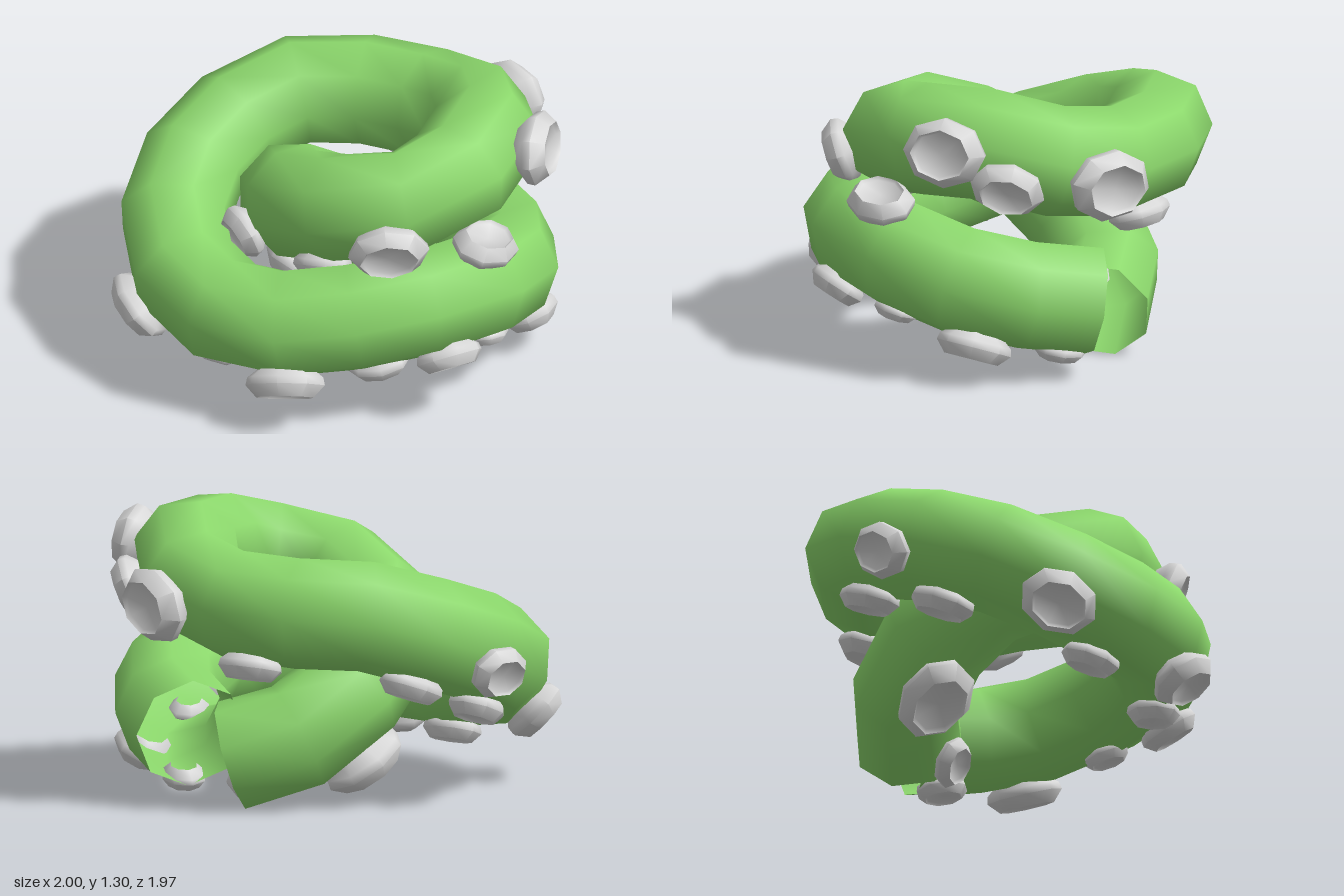
import * as THREE from 'three';
import { toCreasedNormals } from 'three/addons/utils/BufferGeometryUtils.js';

// Centreline of the coil, from the lower back end, round twice, to the inner end
const PATH = [
  [0.17, 0.35, -0.71], [0.59, 0.44, -0.45], [0.755, 0.55, 0.02], [0.64, 0.55, 0.32],
  [0.41, 0.50, 0.57], [0.12, 0.46, 0.73], [-0.20, 0.48, 0.73], [-0.48, 0.58, 0.59],
  [-0.66, 0.71, 0.30], [-0.68, 0.83, -0.05], [-0.56, 0.92, -0.32], [-0.32, 0.93, -0.52],
  [-0.03, 0.94, -0.61], [0.28, 1.00, -0.58], [0.51, 1.08, -0.38], [0.62, 1.06, -0.08],
  [0.57, 1.00, 0.14], [0.33, 0.95, 0.33], [0.03, 0.84, 0.31], [-0.18, 0.73, 0.16],
  [-0.26, 0.59, -0.05], [-0.26, 0.45, -0.23], [-0.17, 0.33, -0.42], [0.04, 0.25, -0.58],
];

// Suckers: rough position x, y, z and radius
const SUCKERS = [
  // upper coil
  [0.85, 1.12, -0.44, 0.16], [0.75, 0.88, -0.74, 0.14], [0.24, 0.94, -0.95, 0.17],
  [0.67, 0.88, 0.44, 0.15], [0.84, 0.82, -0.03, 0.14], [-0.15, 0.71, 0.46, 0.13],
  [0.27, 0.72, 0.43, 0.12], [-0.15, 0.68, -0.66, 0.13],
  // left side
  [-0.95, 0.64, 0.14, 0.13], [-0.66, 0.40, 0.25, 0.13], [-0.67, 0.58, -0.17, 0.13],
  // lower coil
  [-0.50, 0.32, 0.83, 0.15], [0.37, 0.23, 0.80, 0.15], [-0.12, 0.20, 0.66, 0.12],
  [0.58, 0.25, 0.40, 0.12], [0.85, 0.35, 0.24, 0.13], [0.80, 0.27, -0.08, 0.09],
  [0.68, 0.20, -0.48, 0.14], [0.30, 0.10, -0.62, 0.10],
  // inner end
  [-0.33, 0.10, -0.03, 0.17], [0.12, 0.08, -0.32, 0.11],
];

export function createModel() {
  const model = new THREE.Group();
  const skin = new THREE.MeshStandardMaterial({ color: 0x8cd86c, side: THREE.DoubleSide });
  skin.name = 'green skin';
  const pale = new THREE.MeshStandardMaterial({ color: 0xd6d6d6 });
  pale.name = 'pale grey';

  // Eight-sided tentacle, open at both ends
  const curve = new THREE.CatmullRomCurve3(PATH.map(p => new THREE.Vector3(...p)));
  const tentacle = new THREE.Mesh(new THREE.TubeGeometry(curve, 24, 0.25, 8), skin);
  tentacle.name = 'tentacle';
  model.add(tentacle);

  // Shallow dish-shaped sucker of radius 1, pointing up
  const profile = [[0.6, 0], [0.96, 0.35], [1, 0.58], [0.72, 0.95], [0.64, 0.84], [0, 0.78]];
  const dish = toCreasedNormals(
    new THREE.LatheGeometry(profile.map(p => new THREE.Vector2(...p)), 8), 0.95);

  // Each sucker sits on the skin, pointing out from the centreline, longer along it
  const STEPS = 400;
  const centres = curve.getSpacedPoints(STEPS);
  const suckers = new THREE.Group();
  suckers.name = 'suckers';
  for (const [x, y, z, r] of SUCKERS) {
    const p = new THREE.Vector3(x, y, z);
    const near = centres.reduce((a, b) => (b.distanceToSquared(p) < a.distanceToSquared(p) ? b : a));
    const out = p.clone().sub(near).normalize();
    const along = curve.getTangentAt(centres.indexOf(near) / STEPS);
    along.addScaledVector(out, -along.dot(out)).normalize();
    const across = along.clone().cross(out);
    const sucker = new THREE.Mesh(dish, pale);
    sucker.name = 'sucker';
    sucker.position.copy(near).addScaledVector(out, 0.19);
    sucker.quaternion.setFromRotationMatrix(new THREE.Matrix4().makeBasis(along, out, across));
    sucker.scale.set(r * 1.22, r, r);
    suckers.add(sucker);
  }
  model.add(suckers);
  return model;
}
